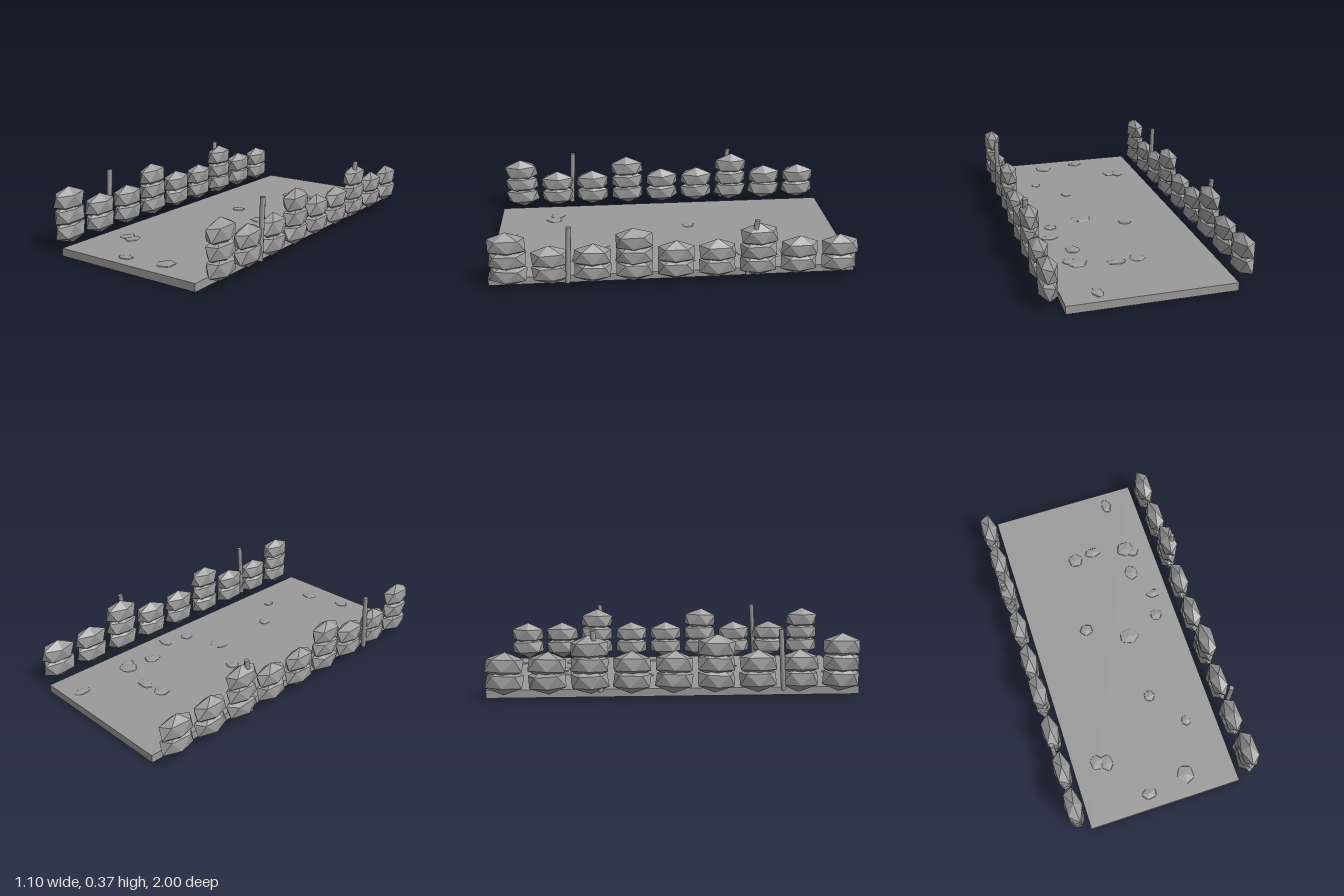
import * as THREE from 'three';

export function createModel() {
  const model = new THREE.Group();
  model.name = 'stoneWalledPath';
  const stone = new THREE.MeshStandardMaterial({ color: 0x9a9a9a });
  stone.name = 'grey stone';

  let seed = 7;
  const jitter = (amount) => {
    seed = (seed * 16807) % 2147483647;
    return (seed / 2147483647 - 0.5) * 2 * amount;
  };
  const add = (parent, name, geometry) => {
    const mesh = new THREE.Mesh(geometry, stone);
    mesh.name = name;
    parent.add(mesh);
    return mesh;
  };

  // Faceted rock with one corner pointing up, stretched to three radii
  const rock = (yaw, tilt, rx, ry, rz) =>
    new THREE.IcosahedronGeometry(1, 0)
      .rotateZ(Math.atan(2 / (1 + Math.sqrt(5))))
      .rotateY(yaw)
      .rotateX(jitter(tilt))
      .rotateZ(jitter(tilt))
      .scale(rx, ry, rz);

  // Flat path slab
  add(model, 'pathSlab', new THREE.BoxGeometry(0.88, 0.043, 2)).position.y = 0.0215;

  // Shallow pebbles set in the path: x, z, half width, half depth
  const pebbles = [
    [0.26, -0.91, 0.03, 0.05], [-0.04, -0.6, 0.045, 0.045], [0.08, -0.62, 0.055, 0.032],
    [0.28, -0.58, 0.055, 0.05], [0.32, -0.55, 0.035, 0.035], [0.265, -0.415, 0.04, 0.05],
    [0.355, -0.24, 0.05, 0.028], [0.32, -0.1, 0.037, 0.037], [-0.115, -0.135, 0.04, 0.037],
    [0.12, -0.02, 0.06, 0.05], [0.115, 0.375, 0.033, 0.035], [0.27, 0.58, 0.028, 0.033],
    [-0.3, 0.655, 0.038, 0.045], [-0.245, 0.675, 0.035, 0.05], [-0.07, 0.915, 0.045, 0.033],
    [0.16, 0.875, 0.05, 0.055],
  ];
  pebbles.forEach(([x, z, rx, rz]) => {
    add(model, 'pebble', rock(jitter(3), 0.1, rx * 1.1, 0.01, rz * 1.1)).position.set(x, 0.042, z);
  });

  // Leaning post between two points
  const post = (parent, from, to) => {
    const a = new THREE.Vector3(...from), b = new THREE.Vector3(...to);
    const dir = b.clone().sub(a);
    const mesh = add(parent, 'post', new THREE.CylinderGeometry(0.014, 0.014, dir.length(), 8));
    mesh.position.copy(a).add(b).multiplyScalar(0.5);
    mesh.quaternion.setFromUnitVectors(new THREE.Vector3(0, 1, 0), dir.normalize());
  };

  // Stacked rock walls on both sides, every third stack taller where the wall steps up
  const layers = [2, 2, 3, 2, 2, 3, 2, 2, 3];
  for (const side of [1, -1]) {
    const wall = new THREE.Group();
    wall.name = side > 0 ? 'leftWall' : 'rightWall';
    layers.forEach((count, i) => {
      for (let level = 0; level < count; level++) {
        const yaw = (side > 0 ? 0 : Math.PI) + jitter(0.12);
        add(wall, 'wallRock', rock(yaw, 0.08, 0.054, 0.0725, 0.114))
          .position.set(side * 0.5, 0.103 + level * 0.085, -0.89 + i * 0.2213);
      }
    });
    post(wall, [side * 0.515, 0.045, 0.573], [side * 0.515, 0.37, 0.553]);
    post(wall, [side * 0.51, 0.045, -0.39], [side * 0.516, 0.37, -0.43]);
    model.add(wall);
  }
  return model;
}
